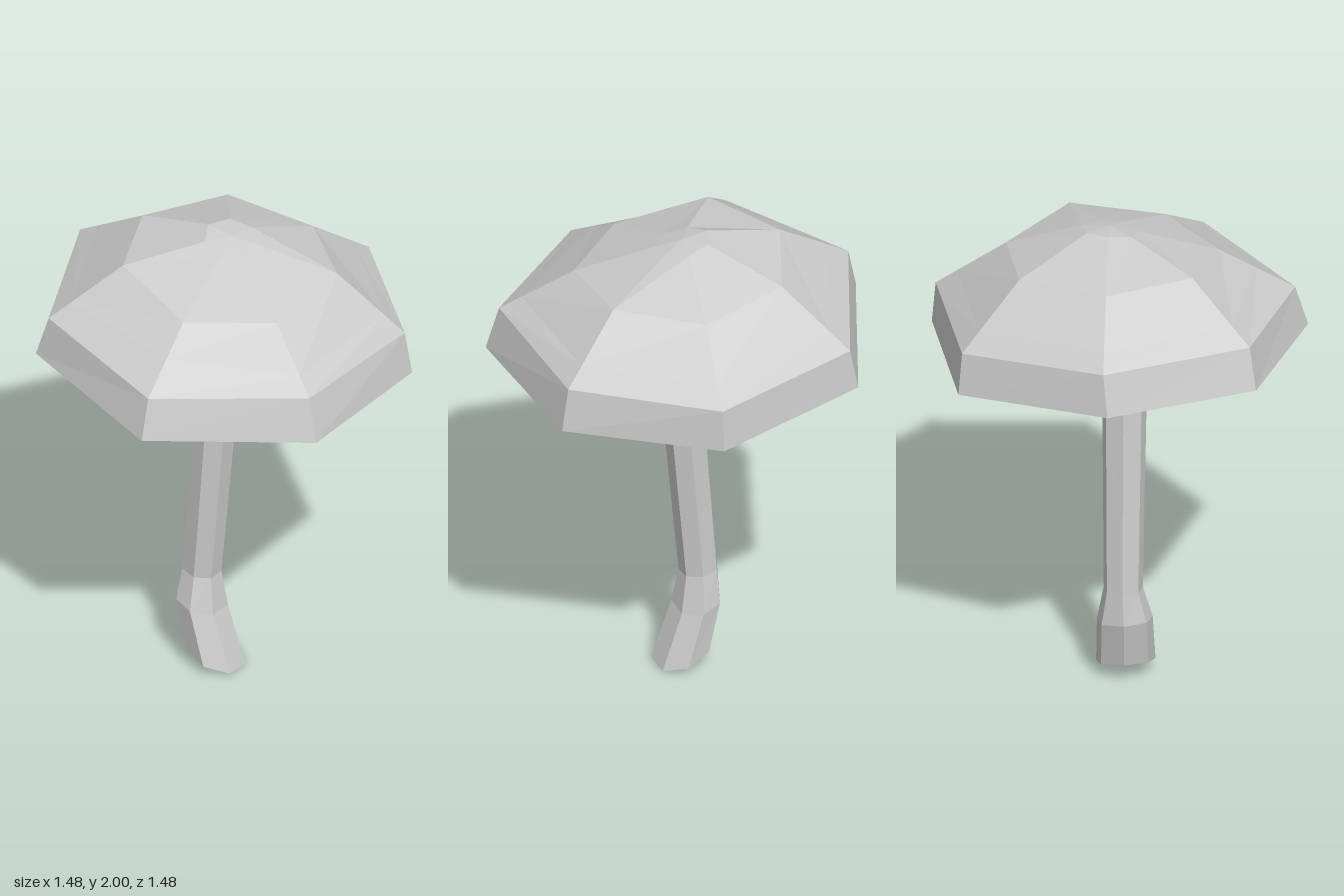
import * as THREE from 'three';

const SIDES = 7;
const material = new THREE.MeshStandardMaterial({ color: 0xcccccc, flatShading: true, side: THREE.DoubleSide });

// Skin a list of seven-point rings, ordered along the profile from below to above
function loft(name, rings) {
  const pos = [];
  for (let r = 0; r < rings.length - 1; r++) {
    for (let k = 0; k < SIDES; k++) {
      const n = (k + 1) % SIDES;
      const a = rings[r][n], b = rings[r][k], c = rings[r + 1][k], d = rings[r + 1][n];
      pos.push(...a, ...b, ...c, ...a, ...c, ...d);
    }
  }
  const geo = new THREE.BufferGeometry();
  geo.setAttribute('position', new THREE.Float32BufferAttribute(pos, 3));
  geo.computeVertexNormals();
  const mesh = new THREE.Mesh(geo, material);
  mesh.name = name;
  return mesh;
}

// Elliptical ring, tilted by the slopes tx and tz
function ring(cx, y, cz, rx, rz, tx = 0, tz = 0) {
  return Array.from({ length: SIDES }, (_, k) => {
    const a = THREE.MathUtils.degToRad(-95) + (k * Math.PI * 2) / SIDES;
    const dx = Math.cos(a) * rx, dz = Math.sin(a) * rz;
    return [cx + dx, y + dx * tx + dz * tz, cz + dz];
  });
}

const point = (x, y, z) => Array.from({ length: SIDES }, () => [x, y, z]);

export function createModel() {
  const group = new THREE.Group();
  group.name = 'mushroom';

  // Stem: slanted open foot, bent neck, flare into the cap
  const flare = ring(-0.035, 1.49, 0.018, 0.165, 0.16, 0, -0.06);
  group.add(loft('stem', [
    ring(-0.045, 0.042, 0.005, 0.12, 0.12, -0.1, -0.36),
    ring(-0.05, 0.265, -0.06, 0.113, 0.098, -0.1, -0.2),
    ring(-0.045, 0.41, -0.067, 0.079, 0.079, 0, -0.12),
    ring(-0.04, 1.32, 0.01, 0.091, 0.087),
    ring(-0.037, 1.44, 0.018, 0.138, 0.133),
    flare,
  ]));

  // Cap rings, each starting at the back and running towards the left side
  const rimLow = [[-0.07, 1.56, -0.74], [0.55, 1.49, -0.51], [0.74, 1.45, 0.13], [0.37, 1.45, 0.67],
    [-0.28, 1.475, 0.74], [-0.74, 1.49, 0.23], [-0.62, 1.55, -0.43]];
  const rimHigh = [[-0.05, 1.73, -0.70], [0.54, 1.66, -0.48], [0.725, 1.625, 0.13], [0.36, 1.63, 0.64],
    [-0.265, 1.655, 0.69], [-0.69, 1.66, 0.22], [-0.59, 1.72, -0.39]];
  const crown = [[-0.02, 1.915, -0.4], [0.34, 1.89, -0.27], [0.44, 1.85, 0.09], [0.23, 1.87, 0.4],
    [-0.15, 1.835, 0.42], [-0.4, 1.845, 0.15], [-0.34, 1.92, -0.22]];
  const peak = [[0.01, 2, -0.08], [0.1, 1.995, -0.05], [0.13, 1.98, 0.04], [0.07, 1.965, 0.12],
    [-0.02, 1.955, 0.13], [-0.09, 1.955, 0.06], [-0.07, 1.98, -0.03]];

  // Shoulder: slight fold between rim and crown, higher up on one side
  const shoulder = rimHigh.map((p, k) => p.map((v, i) => THREE.MathUtils.lerp(v, crown[k][i], k === 5 ? 0.52 : 0.3)));

  // Underside: rounded lip and a shallow hollow around the stem
  const lipDrop = [0.005, 0.005, 0.005, 0.008, 0.035, 0.04, 0.01];
  const lip = rimLow.map(([x, y, z], k) => [x * 0.91, y - lipDrop[k], z * 0.91]);
  const hollow = crown.map(([x, , z], k) => [x, lip[k][1] + 0.06, z]);

  group.add(loft('cap', [flare, hollow, lip, rimLow, rimHigh, shoulder, crown, peak, point(0.02, 1.99, 0.03)]));
  return group;
}
